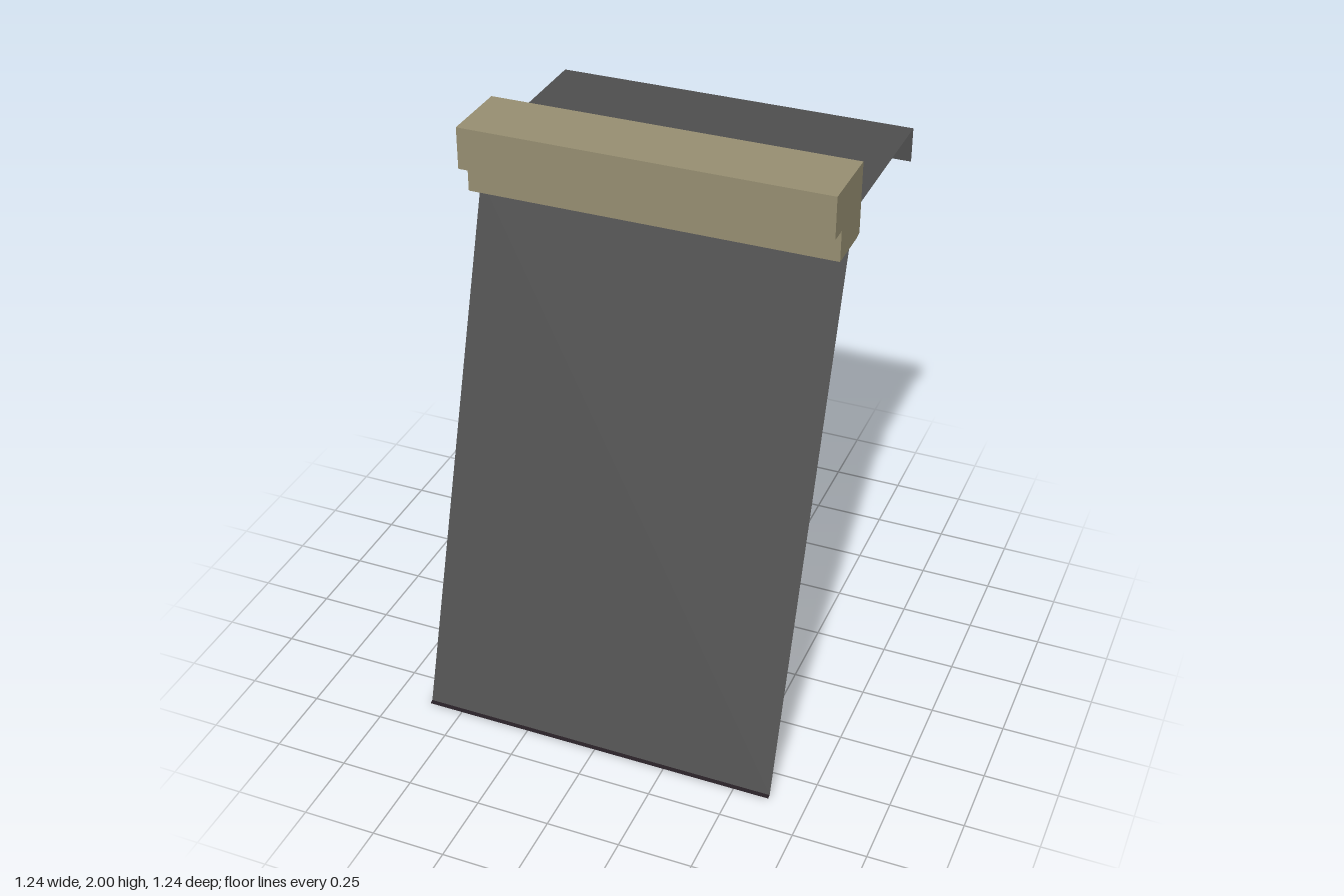
import * as THREE from 'three';

const HALF = 0.622; // half of the common width

const stone = new THREE.MeshStandardMaterial({ color: 0x968e71 });
stone.name = 'sandstone';
const slate = new THREE.MeshStandardMaterial({ color: 0x4e4e4e, side: THREE.DoubleSide });
slate.name = 'slate grey';
const hemDark = new THREE.MeshStandardMaterial({ color: 0x241c22, side: THREE.DoubleSide });
hemDark.name = 'dark hem';

// Thin full-width sheet spanning two [z, y] points
function sheet(name, [z0, y0], [z1, y1], material) {
  const geo = new THREE.BufferGeometry();
  geo.setAttribute('position', new THREE.Float32BufferAttribute([
    -HALF, y0, z0, HALF, y0, z0, HALF, y1, z1, -HALF, y1, z1,
  ], 3));
  geo.setIndex([0, 2, 1, 0, 3, 2]);
  geo.computeVertexNormals();
  const mesh = new THREE.Mesh(geo, material);
  mesh.name = name;
  return mesh;
}

export function createModel() {
  const group = new THREE.Group();
  group.name = 'steppedRidge';

  // Stepped beam: profile in (z, y), extruded along x
  const profile = new THREE.Shape([
    [-0.062, 2], [-0.062, 1.758], [-0.03, 1.752], [0.127, 1.752],
    [0.127, 1.857], [0.188, 1.857], [0.188, 2],
  ].map(([z, y]) => new THREE.Vector2(-z, y)));
  const beamGeo = new THREE.ExtrudeGeometry(profile, { depth: 2 * HALF, bevelEnabled: false });
  beamGeo.translate(0, 0, -HALF);
  beamGeo.rotateY(Math.PI / 2);
  const beam = new THREE.Mesh(beamGeo, stone);
  beam.name = 'beam';
  group.add(beam);

  // Rear shelf with its hanging lip
  group.add(sheet('rearShelf', [-0.622, 1.864], [-0.062, 1.864], slate));
  group.add(sheet('rearLip', [-0.622, 1.744], [-0.622, 1.864], slate));

  // Long front slope with a narrow hem at its foot
  group.add(sheet('frontSlope', [0.04, 1.752], [0.608, 0.003], slate));
  group.add(sheet('frontHem', [0.608, 0.003], [0.622, 0], hemDark));

  return group;
}
